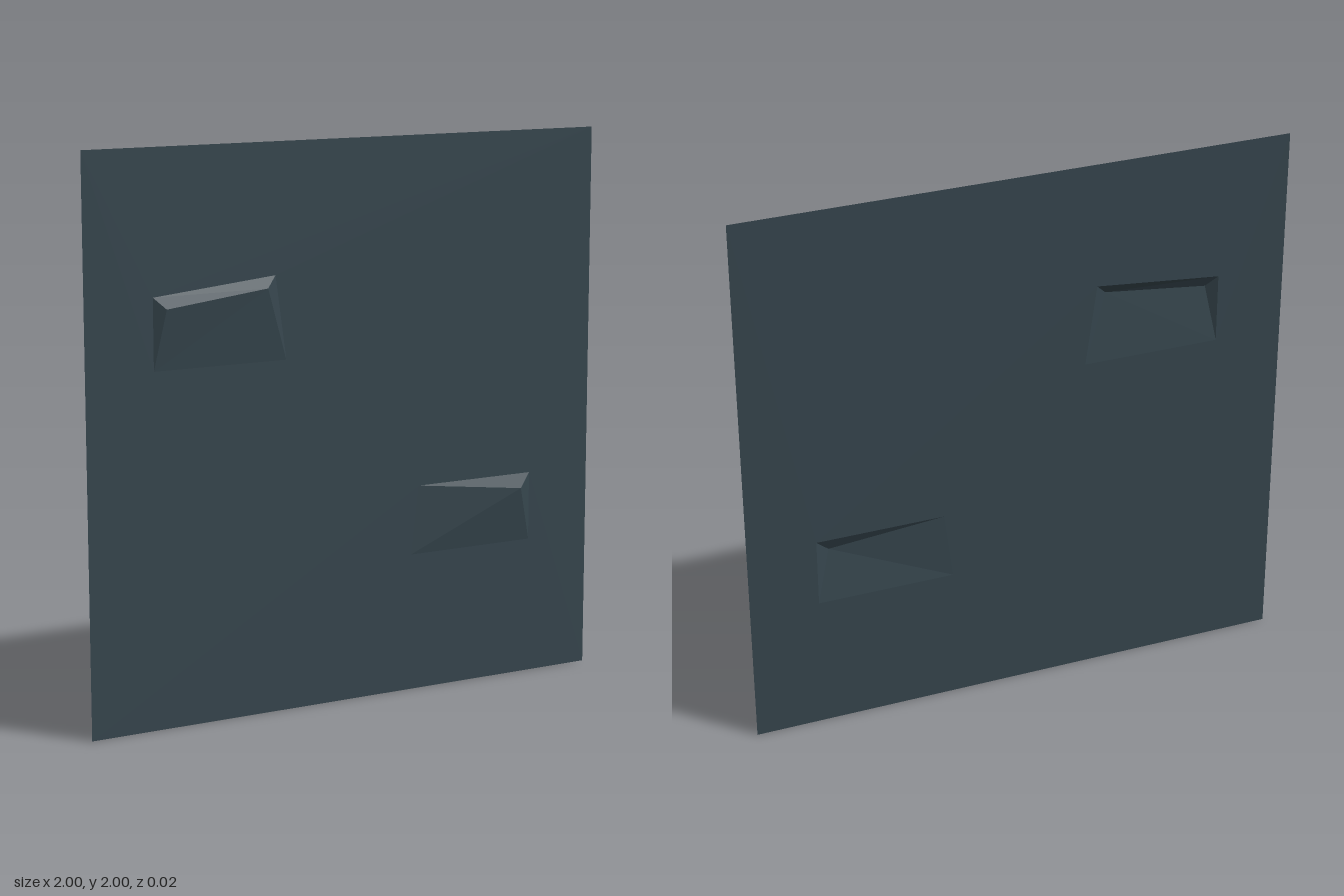
import * as THREE from 'three';

const BASE = -0.012; // depth of the flat sheet

// Corners run top left, bottom left, bottom right, top right; ridge points are [x, y, z].
const dents = [
  {
    name: 'upperRightDent',
    corners: [[-0.75, 1.5], [-0.75, 1.25], [-0.25, 1.25], [-0.29, 1.545]],
    ridge: [[-0.71, 1.46, 0.011], [-0.33, 1.505, 0.011]],
    // left, top, right and front facets
    faces: [[0, 1, 4], [0, 4, 5], [0, 5, 3], [3, 5, 2], [4, 1, 5], [1, 2, 5]],
  },
  {
    name: 'lowerLeftDent',
    corners: [[0.28, 0.75], [0.25, 0.5], [0.75, 0.5], [0.75, 0.75]],
    ridge: [[0.7, 0.7, 0.012]],
    // top, right and front facets
    faces: [[0, 4, 3], [3, 4, 2], [0, 1, 4], [1, 2, 4]],
  },
];

// Faceted pyramid-like relief from its rim and ridge points
function dentGeometry({ corners, ridge, faces }) {
  const points = [...corners.map(([x, y]) => [x, y, BASE]), ...ridge];
  const geometry = new THREE.BufferGeometry();
  const positions = faces.flat().flatMap((i) => points[i]);
  geometry.setAttribute('position', new THREE.Float32BufferAttribute(positions, 3));
  geometry.computeVertexNormals();
  return geometry;
}

export function createModel() {
  const group = new THREE.Group();
  group.name = 'wallPanel';
  const slate = new THREE.MeshStandardMaterial({
    name: 'slate', color: 0x37474f, side: THREE.DoubleSide, flatShading: true,
  });

  const add = (name, geometry) => {
    const mesh = new THREE.Mesh(geometry, slate);
    mesh.name = name;
    group.add(mesh);
    return mesh;
  };

  // Flat sheet, open behind each dent
  const outline = new THREE.Shape(
    [[-1, 0], [1, 0], [1, 2], [-1, 2]].map(([x, y]) => new THREE.Vector2(x, y)),
  );
  for (const dent of dents) {
    outline.holes.push(new THREE.Path(dent.corners.map(([x, y]) => new THREE.Vector2(x, y))));
  }
  add('sheet', new THREE.ShapeGeometry(outline)).position.z = BASE;

  // Raised dents
  for (const dent of dents) add(dent.name, dentGeometry(dent));

  return group;
}
